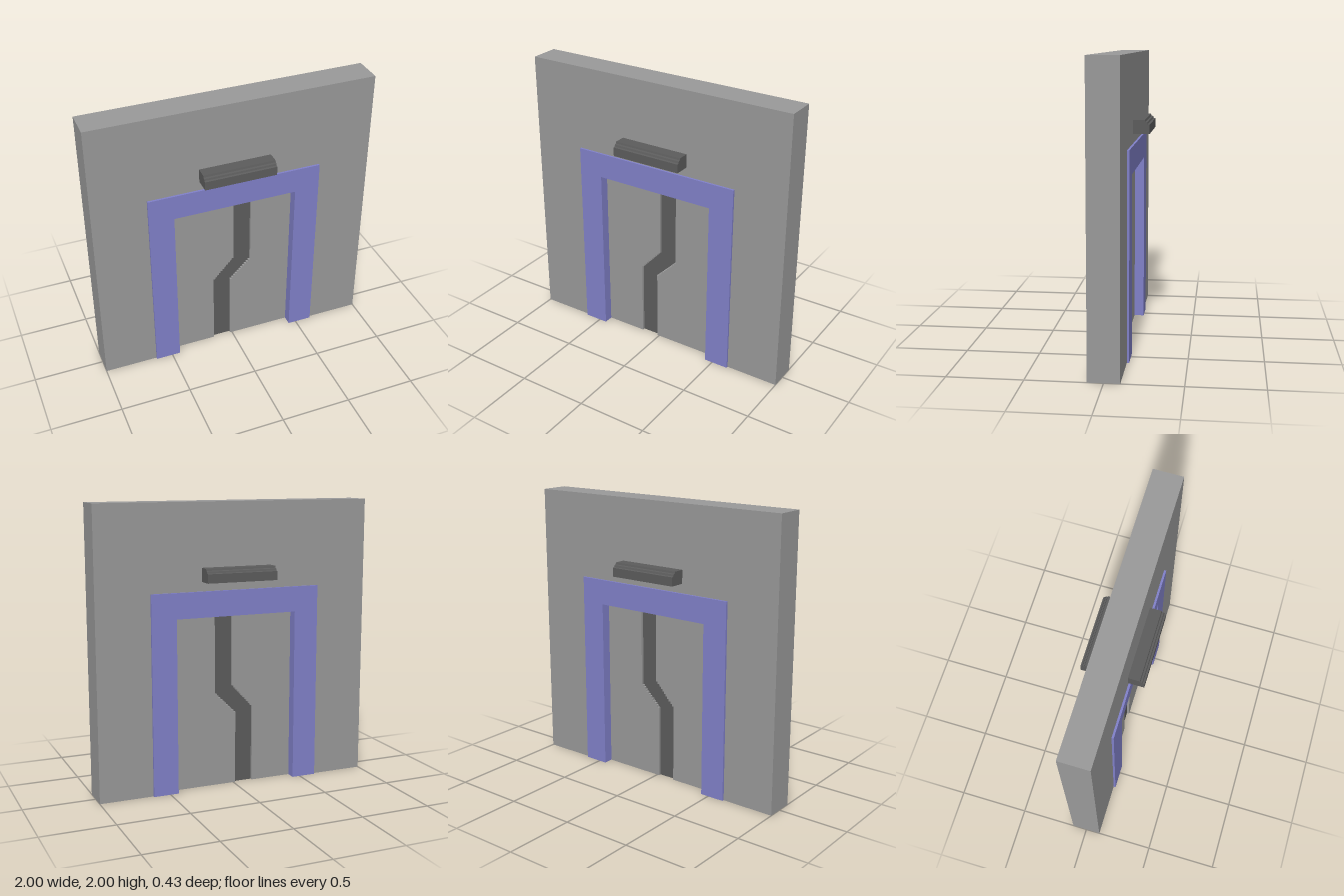
import * as THREE from 'three';

export function createModel() {
  const model = new THREE.Group();
  const mat = (name, color) => {
    const m = new THREE.MeshStandardMaterial({ color });
    m.name = name;
    return m;
  };
  const grey = mat('wall grey', 0x999999);
  const blue = mat('frame blue', 0x8080c8);
  const dark = mat('dark metal', 0x5c5c5c);
  const red = mat('lamp red', 0xff0000);

  const WALL = 0.104, FRAME = 0.119, DOOR = 0.05, SEAM = 0.032;
  const IN_X = 0.445, IN_Y = 1.225;

  // Extrude an outline between two z positions
  const slab = (name, points, z0, z1, material, parent = model) => {
    const shape = new THREE.Shape(points.map(([x, y]) => new THREE.Vector2(x, y)));
    const geo = new THREE.ExtrudeGeometry(shape, { depth: z1 - z0, bevelEnabled: false });
    geo.translate(0, 0, z0);
    const mesh = new THREE.Mesh(geo, material);
    mesh.name = name;
    parent.add(mesh);
    return mesh;
  };
  const box = (name, w, h, d, x, y, z, material, parent) => {
    const mesh = new THREE.Mesh(new THREE.BoxGeometry(w, h, d), material);
    mesh.name = name;
    mesh.position.set(x, y, z);
    parent.add(mesh);
  };
  // Arch outline: outer half width and height, inner half width and height
  const arch = (ox, oy, ix, iy) => [
    [-ox, 0], [-ix, 0], [-ix, iy], [ix, iy], [ix, 0], [ox, 0], [ox, oy], [-ox, oy],
  ];

  // Wall with the doorway cut out
  slab('wall', arch(1, 2, IN_X, IN_Y), -WALL, WALL, grey);

  // Stepped door edge running from a lower to an upper x position
  const STEPS = 11;
  const edge = (x0, y0, x1, y1) => {
    const pts = [[x0, 0]];
    for (let i = 0; i < STEPS; i++) {
      const y = y0 + (y1 - y0) * (i + 0.5) / STEPS;
      pts.push([x0 + (x1 - x0) * i / STEPS, y], [x0 + (x1 - x0) * (i + 1) / STEPS, y]);
    }
    pts.push([x1, IN_Y]);
    return pts;
  };
  const rightEdge = edge(-0.145, 0.55, 0.01, 0.72);
  const leftEdge = edge(-0.015, 0.515, 0.14, 0.67);

  // Two sliding leaves with the recessed dark seam between them
  slab('rightDoorLeaf', [[-IN_X, 0], ...rightEdge, [-IN_X, IN_Y]], -DOOR, DOOR, grey);
  slab('leftDoorLeaf', [[IN_X, 0], [IN_X, IN_Y], ...leftEdge.slice().reverse()], -DOOR, DOOR, grey);
  slab('doorSeam', [...leftEdge, ...rightEdge.slice().reverse()], -SEAM, SEAM, dark);

  // Stepped lamp hood cross-section: distance from the wall centre, height
  const hood = [
    [WALL, 1.475], [0.215, 1.475], [0.215, 1.527], [0.203, 1.531],
    [0.199, 1.543], [0.187, 1.547], [0.183, 1.56], [WALL, 1.56],
  ];
  const HALF = 0.255, RIM = 0.016;

  // Door frame and lamp, repeated on both faces of the wall
  for (const face of ['front', 'back']) {
    const side = new THREE.Group();
    side.name = face + 'Side';
    side.rotation.y = face === 'front' ? 0 : Math.PI;
    model.add(side);

    slab('doorFrame', arch(0.62, 1.4, IN_X, IN_Y), WALL, FRAME, blue, side);
    slab('doorFrameLining', arch(IN_X, IN_Y, IN_X - 0.003, IN_Y - 0.003), DOOR, FRAME, blue, side);

    const lamp = new THREE.Group();
    lamp.name = 'lamp';
    side.add(lamp);
    const body = slab('lampHood', hood.map(([z, y]) => [-z, y]), -HALF, HALF, dark, lamp);
    body.rotation.y = Math.PI / 2;

    // Rim around the red light on the underside
    const midZ = (WALL + 0.215) / 2, depth = 0.215 - WALL;
    for (const s of [-1, 1]) {
      box('lampRimLong', 2 * HALF, 0.01, RIM, 0, 1.47, midZ + s * (depth - RIM) / 2, dark, lamp);
      box('lampRimEnd', RIM, 0.01, depth - 2 * RIM, s * (HALF - RIM / 2), 1.47, midZ, dark, lamp);
    }
    box('lampLight', 2 * (HALF - RIM), 0.004, depth - 2 * RIM, 0, 1.473, midZ, red, lamp);
  }
  return model;
}
